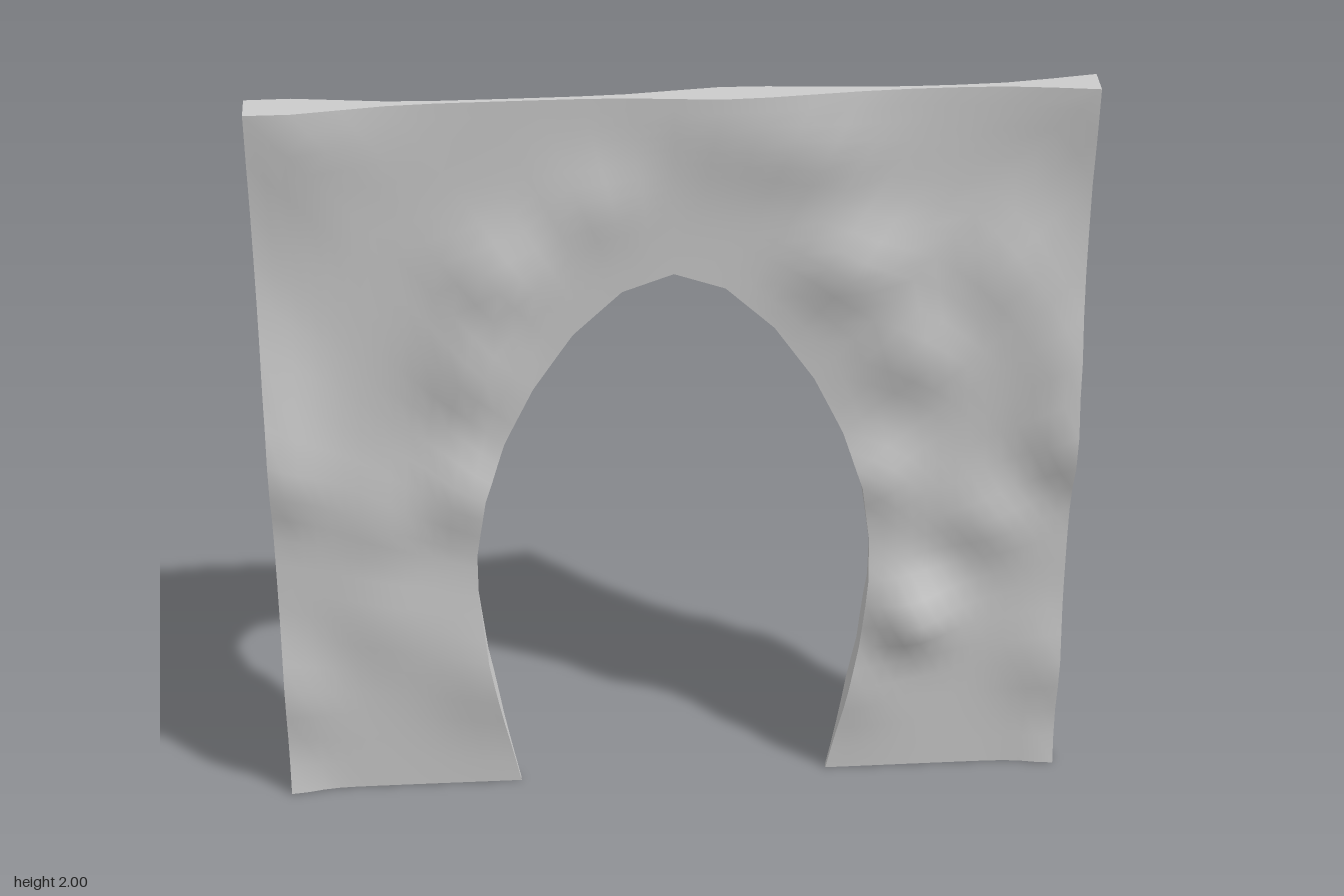
import * as THREE from 'three';

// Half outline of the opening (jamb foot to crown) and the matching outer edge
const ARCH = [[.4, 0], [.44, .2], [.475, .4], [.495, .6], [.495, .72], [.47, .9], [.42, 1.05], [.345, 1.21], [.245, 1.36], [.125, 1.475], [0, 1.52]];
const OUTER = [[1, 0], [1, .25], [1, .5], [1, .72], [1, .95], [1, 1.25], [1, 1.6], [1, 2], [.67, 2], [.33, 2], [0, 2]];
const SUB = 3, ROWS = 14;

// Swellings of the stone: x, y, height, radius
const BUMPS = [
  [1, 1.01, .068, .13], [1, 1.24, .04, .13], [1, .32, .03, .13], [1, 0, .02, .08], [1, 2, .025, .16],
  [.61, .5, .078, .11], [.46, .28, .026, .14], [-.44, .35, .033, .17], [-.75, .55, .022, .15],
  [.8, .78, .04, .12], [-.72, .85, .024, .13], [-.52, .92, .04, .11], [.5, .92, .035, .1],
  [.44, 1.53, .05, .13], [-.42, 1.53, .046, .13], [-.5, 1.28, .04, .12], [.6, 1.28, .04, .12],
  [-.2, 1.72, .025, .12], [.13, 1.95, .028, .18], [.35, 1.85, .025, .13], [-.85, 1.92, .025, .16], [.8, 1.5, .03, .13],
];

// Half thickness of the wall; it repeats across x so panels can be set side by side
function halfThickness(x, y) {
  let h = .006;
  for (const [bx, by, height, r] of BUMPS) {
    let dx = Math.abs(x - bx);
    dx = Math.min(dx, 2 - dx);
    h += height * Math.exp(-(dx * dx + (y - by) ** 2) / (r * r));
  }
  return h;
}

// Mirror a half outline and subdivide each straight segment
function fullOutline(half) {
  const all = [...half, ...half.slice(0, -1).reverse().map(([x, y]) => [-x, y])];
  const out = [];
  for (let i = 0; i < all.length - 1; i++) {
    for (let k = 0; k < SUB; k++) {
      const t = k / SUB;
      out.push(all[i].map((v, c) => v + (all[i + 1][c] - v) * t));
    }
  }
  out.push(all[all.length - 1]);
  return out;
}

// Grid surface from rows of points, with smooth normals
function gridGeometry(rows, flip) {
  const n = rows[0].length, index = [];
  for (let j = 0; j < rows.length - 1; j++) {
    for (let i = 0; i < n - 1; i++) {
      const a = j * n + i, b = a + 1, c = a + n, d = c + 1;
      if (flip) index.push(a, b, c, b, d, c);
      else index.push(a, c, b, b, c, d);
    }
  }
  const geo = new THREE.BufferGeometry();
  geo.setAttribute('position', new THREE.Float32BufferAttribute(rows.flat(2), 3));
  geo.setIndex(index);
  geo.computeVertexNormals();
  return geo;
}

export function createModel() {
  const group = new THREE.Group();
  const smooth = new THREE.MeshStandardMaterial({ color: 0xcccccc });
  const flat = new THREE.MeshStandardMaterial({ color: 0xcccccc, flatShading: true, side: THREE.DoubleSide });
  const add = (name, geo, mat) => {
    const mesh = new THREE.Mesh(geo, mat);
    mesh.name = name;
    group.add(mesh);
  };

  // Rows that run from the opening out to the square edge
  const inner = fullOutline(ARCH), outer = fullOutline(OUTER);
  const rows = [];
  for (let j = 0; j <= ROWS; j++) {
    rows.push(inner.map(([x, y], i) => [x + (outer[i][0] - x) * j / ROWS, y + (outer[i][1] - y) * j / ROWS]));
  }
  const sheet = (s) => rows.map(row => row.map(([x, y]) => [x, y, s * halfThickness(x, y)]));
  add('wallFront', gridGeometry(sheet(1), false), smooth);
  add('wallBack', gridGeometry(sheet(-1), true), smooth);

  // Strips that close the thickness along each border
  const strip = (line) => gridGeometry([1, -1].map(s => line.map(([x, y]) => [x, y, s * halfThickness(x, y)])), false);
  add('archReveal', strip(rows[0]), flat);
  add('outerEdge', strip(rows[ROWS]), flat);
  add('leftFoot', strip(rows.map(r => r[0])), flat);
  add('rightFoot', strip(rows.map(r => r[r.length - 1])), flat);
  return group;
}
